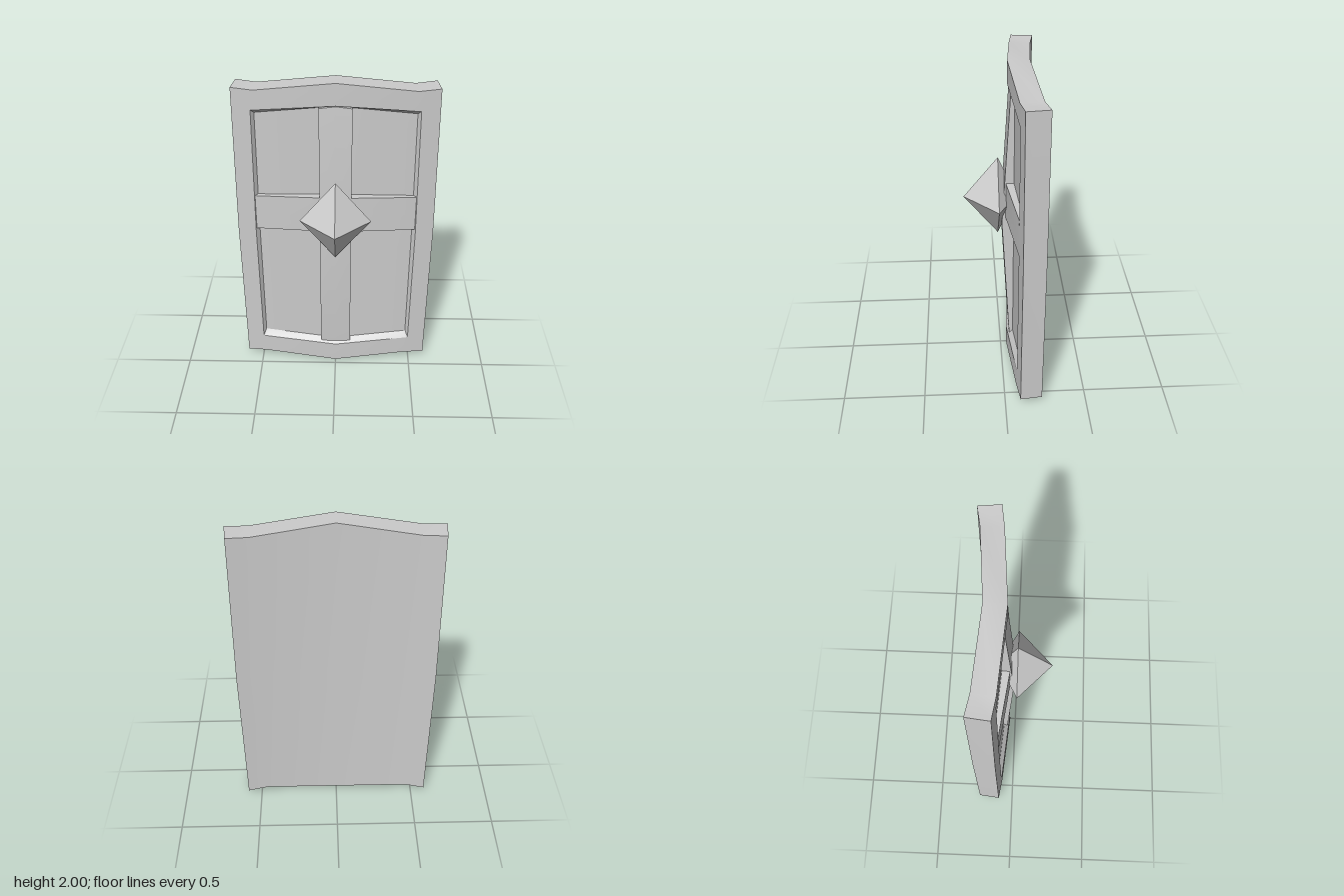
import * as THREE from 'three';
import { toCreasedNormals } from 'three/addons/utils/BufferGeometryUtils.js';

const material = new THREE.MeshStandardMaterial({ color: 0xcccccc });

// Piecewise linear interpolation through [t, value] pairs
function lerpTable(table, t) {
  for (let i = 1; i < table.length; i++) {
    const [t0, v0] = table[i - 1], [t1, v1] = table[i];
    if (t <= t1) return v0 + (v1 - v0) * (t - t0) / (t1 - t0);
  }
  return table[table.length - 1][1];
}

const frontCurve = [[0, -0.037], [0.47, -0.074], [0.61, -0.095]];
const backCurve = [[0, -0.165], [0.47, -0.205], [0.595, -0.229]];
const floorCurve = [[0, -0.068], [0.475, -0.102]];

// Mirrored 12-point ring, counter-clockwise from the front.
// top and bottom hold the y of the middle, shoulder and corner points.
function ring({ xs, mid, top, bottom, curve }) {
  const point = (x, y) => new THREE.Vector3(x, y, lerpTable(curve, Math.abs(x)));
  const order = [2, 1, 0, 1, 2], sign = [1, 1, 0, -1, -1];
  return [
    ...order.map((k, i) => point(sign[i] * xs[k], top[k])),
    point(-mid, 1.0),
    ...order.map((k, i) => point(-sign[i] * xs[k], bottom[k])),
    point(mid, 1.0),
  ];
}

function loft(rings) {
  const positions = [];
  const triangle = (a, b, c) => {
    const area = b.clone().sub(a).cross(c.clone().sub(a)).length();
    if (area > 1e-7) for (const p of [a, b, c]) positions.push(p.x, p.y, p.z);
  };
  for (let r = 0; r + 1 < rings.length; r++) {
    const A = rings[r], B = rings[r + 1];
    for (let i = 0; i < A.length; i++) {
      const j = (i + 1) % A.length;
      triangle(A[i], A[j], B[j]);
      triangle(A[i], B[j], B[i]);
    }
  }
  const geometry = new THREE.BufferGeometry();
  geometry.setAttribute('position', new THREE.Float32BufferAttribute(positions, 3));
  geometry.computeVertexNormals();
  return toCreasedNormals(geometry, 0.4);
}

// Board with raised rim: back, outer edge, rim face, bevel and recessed floor
function shieldBody() {
  const flat = [1, 1, 1];
  const top = [2, 1.942, 1.95], bottom = [0, 0.043, 0.035];
  return loft([
    ring({ xs: [0, 0.46, 0.595], mid: 0.595, top: flat, bottom: flat, curve: backCurve }),
    ring({ xs: [0, 0.46, 0.585], mid: 0.595, top, bottom, curve: backCurve }),
    ring({ xs: [0, 0.47, 0.6], mid: 0.61, top, bottom, curve: frontCurve }),
    ring({ xs: [0, 0.47, 0.49], mid: 0.498, top: [1.865, 1.822, 1.82], bottom: [0.132, 0.168, 0.17], curve: frontCurve }),
    ring({ xs: [0, 0.45, 0.472], mid: 0.476, top: [1.852, 1.799, 1.796], bottom: [0.168, 0.207, 0.21], curve: floorCurve }),
    ring({ xs: [0, 0.45, 0.476], mid: 0.476, top: flat, bottom: flat, curve: floorCurve }),
  ]);
}

// Bar whose vertices are bent by a rule (x, y, isFront) -> [x, y, z]
function bentBar(width, height, centerY, rule) {
  const geometry = new THREE.BoxGeometry(width, height, 0.1, 2, 2, 1);
  geometry.translate(0, centerY, 0);
  const p = geometry.attributes.position;
  for (let i = 0; i < p.count; i++) {
    p.setXYZ(i, ...rule(p.getX(i), p.getY(i), p.getZ(i) > 0));
  }
  return toCreasedNormals(geometry, 0.3);
}

// Four-sided boss with a long front point and a short back point
function bossGeometry() {
  const geometry = new THREE.OctahedronGeometry(1);
  const p = geometry.attributes.position;
  for (let i = 0; i < p.count; i++) {
    const z = p.getZ(i);
    p.setXYZ(i, p.getX(i) * 0.217, 1.142 + p.getY(i) * 0.26, 0.017 + z * (z > 0 ? 0.208 : 0.117));
  }
  geometry.computeVertexNormals();
  return geometry;
}

export function createModel() {
  const group = new THREE.Group();
  const add = (name, geometry) => {
    const mesh = new THREE.Mesh(geometry, material);
    mesh.name = name;
    group.add(mesh);
  };

  add('shieldBody', shieldBody());

  // Upright bar bows forward at mid height, its ends slightly pointed
  add('verticalBar', bentBar(0.194, 1.71, 1.0, (x, y, front) => {
    const end = (y - 1) / 0.855;
    const shift = Math.abs(x) > 0.01 ? -0.012 * end : 0;
    const z = -0.004 - 0.048 * Math.abs(end);
    return [x, y + shift, front ? z : -0.13];
  }));

  // Cross bar bows forward at the centre and widens there
  add('crossBar', bentBar(0.984, 0.23, 1.145, (x, y, front) => {
    const side = Math.abs(x) / 0.492;
    const lift = y > 1.2 ? 0.022 * (1 - side) : y < 1.1 ? 0.015 * (1 - side) : 0;
    return [x, y + lift, front ? -0.014 - 0.064 * side : -0.13];
  }));

  add('boss', bossGeometry());
  return group;
}
